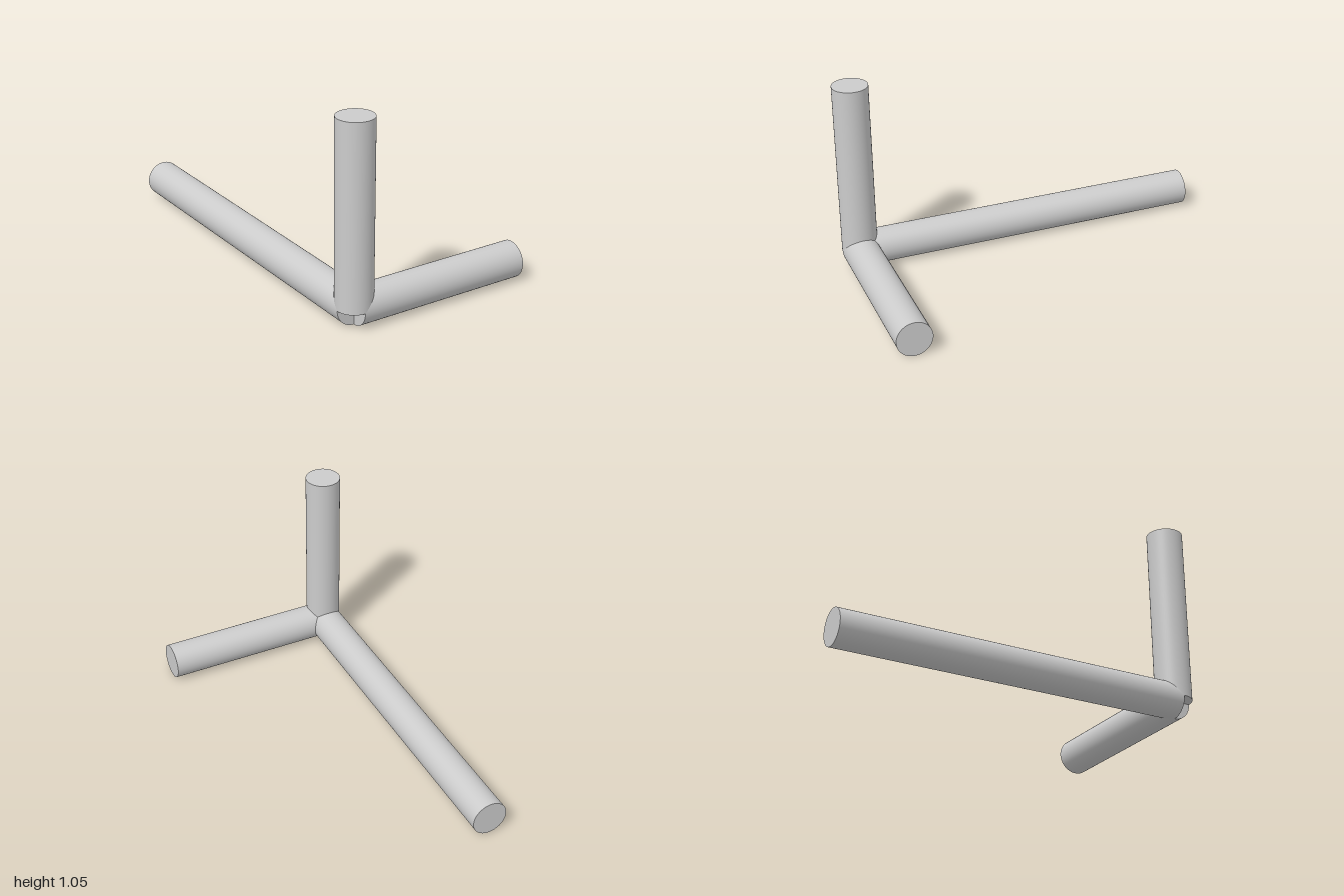
import * as THREE from 'three';

const RADIUS = 0.095;
const CORNER = new THREE.Vector3(-0.43, RADIUS, 0.905);

export function createModel() {
  const model = new THREE.Group();
  model.name = 'cornerOfRods';
  const material = new THREE.MeshStandardMaterial({ color: 0xcccccc });
  const up = new THREE.Vector3(0, 1, 0);

  // A capped rod running from the shared corner along one axis
  function addRod(name, direction, length) {
    const geometry = new THREE.CylinderGeometry(RADIUS, RADIUS, length, 64);
    geometry.translate(0, length / 2, 0);
    const rod = new THREE.Mesh(geometry, material);
    rod.name = name;
    rod.quaternion.setFromUnitVectors(up, direction);
    rod.position.copy(CORNER);
    model.add(rod);
  }

  addRod('sideRod', new THREE.Vector3(1, 0, 0), 0.955);
  addRod('uprightRod', up, 0.955);
  addRod('longBackRod', new THREE.Vector3(0, 0, -1), 1.905);

  return model;
}
